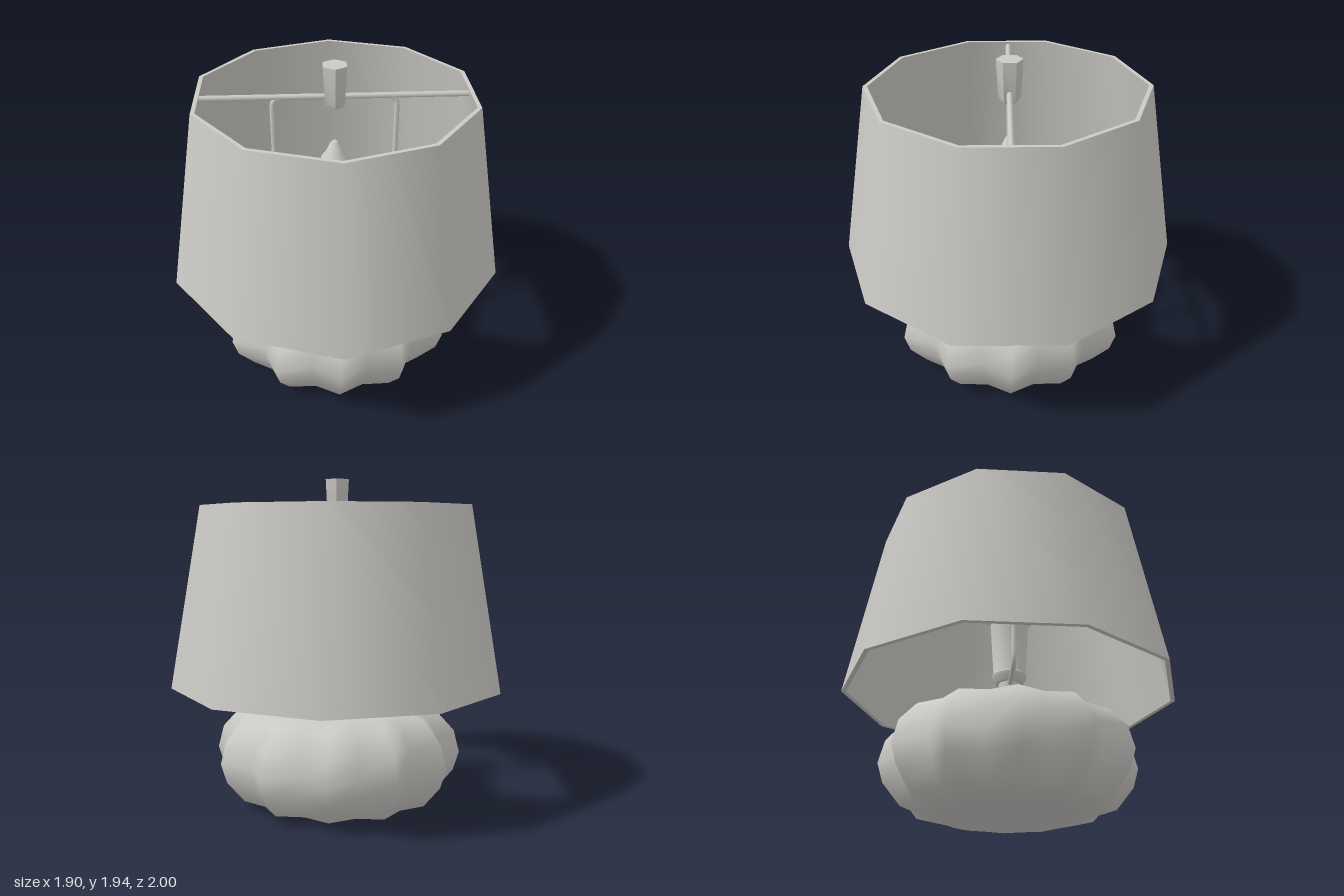
import * as THREE from 'three';
import { mergeGeometries, toCreasedNormals } from 'three/addons/utils/BufferGeometryUtils.js';

const v2 = (p) => new THREE.Vector2(p[0], p[1]);

// Lathe whose profile keeps a hard edge at every point but is smooth around
function bandedLathe(profile, sides) {
  const bands = [];
  for (let i = 0; i < profile.length - 1; i++) {
    bands.push(new THREE.LatheGeometry([v2(profile[i]), v2(profile[i + 1])], sides));
  }
  return mergeGeometries(bands);
}

// Gourd-like base: rings [ridge radius, valley radius, y], bottom to top
function flutedBody(rings, lobes) {
  const n = lobes * 2, pos = [], idx = [];
  for (const [ridge, valley, y] of rings) {
    for (let i = 0; i < n; i++) {
      const a = (i / n) * Math.PI * 2, r = i % 2 ? valley : ridge;
      pos.push(r * Math.sin(a), y, r * Math.cos(a));
    }
  }
  for (let j = 0; j < rings.length - 1; j++) {
    for (let i = 0; i < n; i++) {
      const a = j * n + i, b = j * n + (i + 1) % n;
      idx.push(a, b, b + n, a, b + n, a + n);
    }
  }
  const g = new THREE.BufferGeometry();
  g.setAttribute('position', new THREE.Float32BufferAttribute(pos, 3));
  g.setIndex(idx);
  g.computeVertexNormals();
  return g;
}

// Rounded rectangular wire loop standing in the XY plane
function harpLoop(halfWidth, y0, y1, corner) {
  const path = new THREE.CurvePath();
  const P = (x, y) => new THREE.Vector3(x, y, 0);
  const w = halfWidth, c = corner;
  const line = (a, b) => path.add(new THREE.LineCurve3(a, b));
  const bend = (a, m, b) => path.add(new THREE.QuadraticBezierCurve3(a, m, b));
  line(P(-w + c, y0), P(w - c, y0));
  bend(P(w - c, y0), P(w, y0), P(w, y0 + c));
  line(P(w, y0 + c), P(w, y1 - c));
  bend(P(w, y1 - c), P(w, y1), P(w - c, y1));
  line(P(w - c, y1), P(-w + c, y1));
  bend(P(-w + c, y1), P(-w, y1), P(-w, y1 - c));
  line(P(-w, y1 - c), P(-w, y0 + c));
  bend(P(-w, y0 + c), P(-w, y0), P(-w + c, y0));
  return new THREE.TubeGeometry(path, 160, 0.015, 8, true);
}

export function createModel() {
  const lamp = new THREE.Group();
  lamp.name = 'tableLamp';
  const grey = new THREE.MeshStandardMaterial({ color: 0xcbc9c5 });
  grey.name = 'warm grey';
  const add = (name, geometry, z = -0.007) => {
    const mesh = new THREE.Mesh(geometry, grey);
    mesh.name = name;
    mesh.position.z = z;
    lamp.add(mesh);
    return mesh;
  };

  // Ten-sided hollow shade
  add('shade', bandedLathe([
    [1.0, 0.725], [0.81, 1.785], [0.785, 1.785], [0.973, 0.725], [1.0, 0.725],
  ], 10), 0);

  // Fluted base with flat underside
  add('base', flutedBody([
    [0, 0, 0.005], [0.25, 0.25, 0.005], [0.45, 0.43, 0.005], [0.61, 0.55, 0.05],
    [0.715, 0.615, 0.18], [0.75, 0.64, 0.295], [0.715, 0.615, 0.43], [0.61, 0.55, 0.545],
    [0.45, 0.43, 0.587], [0.28, 0.28, 0.582], [0.1, 0.1, 0.565], [0, 0, 0.565],
  ], 12));

  // Neck, bead and flared socket
  add('neck', new THREE.CylinderGeometry(0.065, 0.065, 0.3, 12).translate(0, 0.69, 0));
  add('socket', toCreasedNormals(new THREE.LatheGeometry([
    [0, 0.8], [0.08, 0.8], [0.1, 0.83], [0.105, 0.85], [0.097, 0.87],
    [0.118, 1.2], [0.143, 1.23], [0.143, 1.26], [0.1, 1.26],
  ].map(v2), 20), 0.6));

  // Bulb with blunt tip
  add('bulb', toCreasedNormals(new THREE.LatheGeometry([
    [0.106, 1.25], [0.102, 1.31], [0.08, 1.37], [0.05, 1.41], [0.028, 1.46], [0.015, 1.475], [0, 1.475],
  ].map(v2), 16), 0.8));

  // Wire harp and the cross rod carrying the shade
  add('harp', harpLoop(0.35, 0.785, 1.752, 0.06));
  add('crossRod', new THREE.CylinderGeometry(0.017, 0.017, 1.5, 8).rotateZ(Math.PI / 2).translate(0, 1.755, 0));

  // Six-sided finial
  add('finial', toCreasedNormals(new THREE.LatheGeometry([
    [0, 1.695], [0.05, 1.695], [0.064, 1.72], [0.076, 1.94], [0, 1.94],
  ].map(v2), 6), 0.9));

  return lamp;
}
